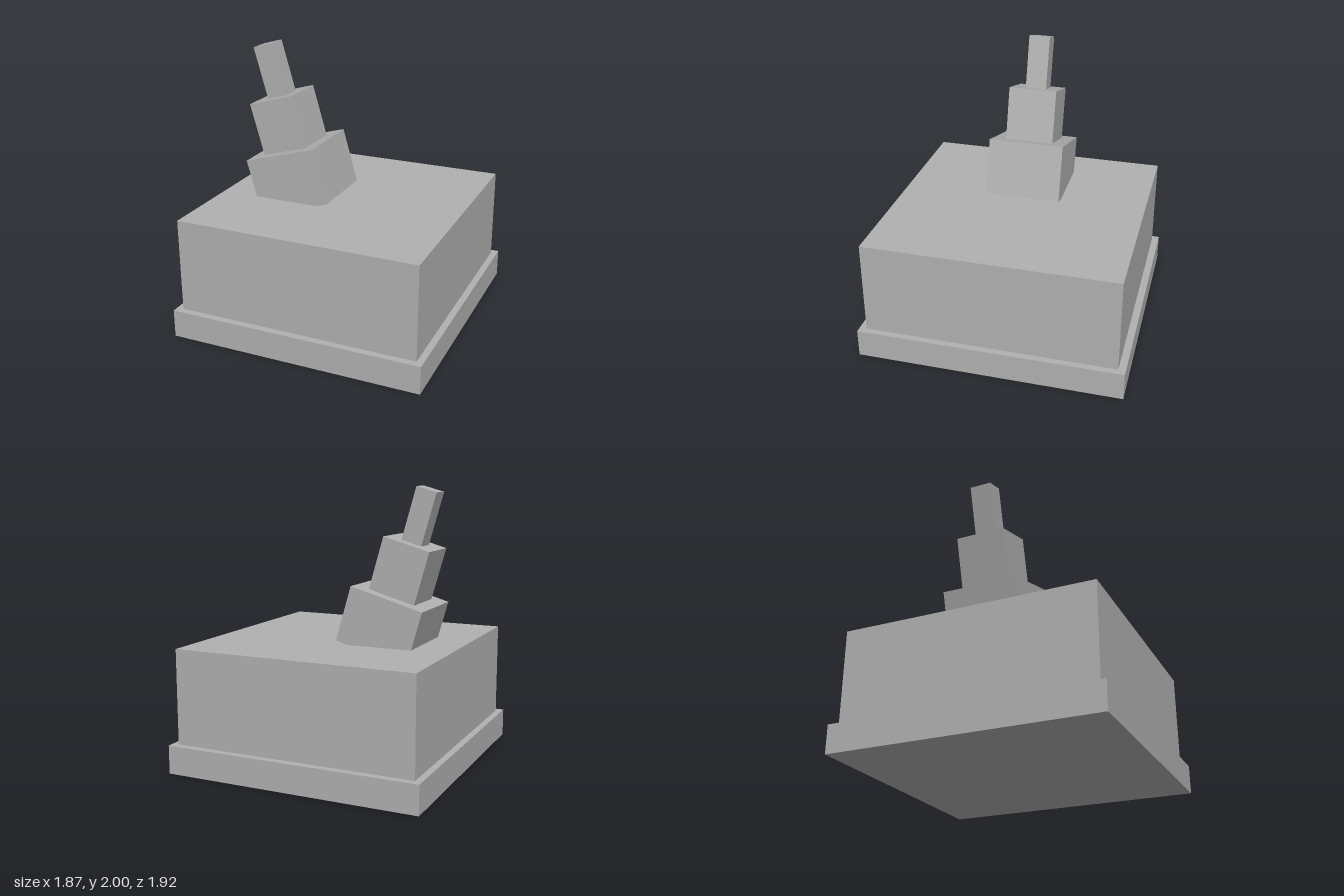
import * as THREE from 'three';

export function createModel() {
  const model = new THREE.Group();
  const grey = new THREE.MeshStandardMaterial({ color: 0xb0b0b0 });
  grey.name = 'grey';

  // Box standing on the given base height of its parent
  function addBox(parent, name, width, height, depth, bottom, z = 0) {
    const mesh = new THREE.Mesh(new THREE.BoxGeometry(width, height, depth), grey);
    mesh.name = name;
    mesh.position.set(0, bottom + height / 2, z);
    parent.add(mesh);
  }

  // Plinth, main block and its thin front panel
  addBox(model, 'plinth', 1.87, 0.205, 1.924, 0);
  addBox(model, 'mainBlock', 1.774, 0.685, 1.815, 0.205, -0.0025);
  addBox(model, 'frontPanel', 1.774, 0.685, 0.005, 0.205, 0.9075);

  // Three shrinking tiers, leaning towards the right and sunk into the block
  const tower = new THREE.Group();
  tower.name = 'leaningTower';
  tower.position.set(-0.305, 0.839, 0);
  tower.rotation.z = 0.278;
  model.add(tower);
  addBox(tower, 'lowerTier', 0.553, 0.411, 0.556, 0);
  addBox(tower, 'middleTier', 0.353, 0.389, 0.356, 0.411);
  addBox(tower, 'upperTier', 0.153, 0.387, 0.156, 0.8);

  return model;
}
